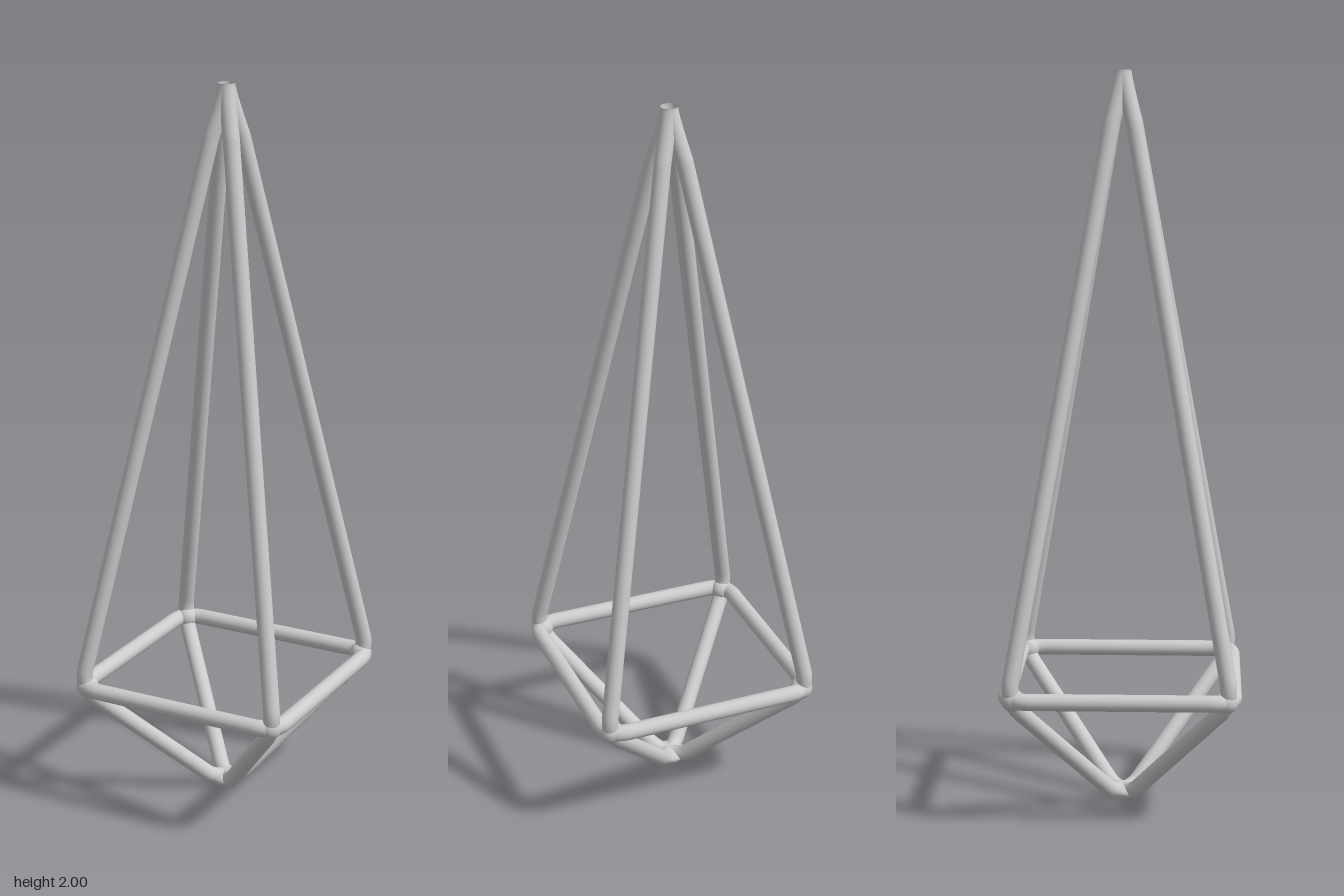
import * as THREE from 'three';

const R = 0.0225;        // rod radius
const RING_Y = 0.352;    // height of the square waist
const RING = 0.302;      // half side of the waist, on rod axis

const material = new THREE.MeshStandardMaterial({ color: 0xcccccc, side: THREE.DoubleSide });

function addMesh(parent, name, geometry) {
  const mesh = new THREE.Mesh(geometry, material);
  mesh.name = name;
  parent.add(mesh);
  return mesh;
}

// One edge rod: open tip, long slope, rounded waist corner, short slope, base
function edgePath(sx, sz) {
  const p = (d, y) => new THREE.Vector3(sx * d, y, sz * d);
  const path = new THREE.CurvePath();
  path.add(new THREE.QuadraticBezierCurve3(p(0, 2), p(0, 1.98), p(0.03, 1.86)));
  path.add(new THREE.LineCurve3(p(0.03, 1.86), p(0.286, 0.41)));
  path.add(new THREE.QuadraticBezierCurve3(p(0.286, 0.41), p(0.297, 0.352), p(0.262, 0.31)));
  path.add(new THREE.LineCurve3(p(0.262, 0.31), p(0.045, 0.046)));
  path.add(new THREE.QuadraticBezierCurve3(p(0.045, 0.046), p(0.027, R), p(0, R)));
  return path;
}

// Square waist with rounded corners
function waistPath() {
  const path = new THREE.CurvePath();
  const round = 0.065;
  for (let i = 0; i < 4; i++) {
    const p = (x, z) => new THREE.Vector3(x, RING_Y, z)
      .applyAxisAngle(new THREE.Vector3(0, 1, 0), i * Math.PI / 2);
    const s = RING - round;
    path.add(new THREE.LineCurve3(p(RING, s), p(RING, -s)));
    path.add(new THREE.QuadraticBezierCurve3(p(RING, -s), p(RING, -RING), p(s, -RING)));
  }
  return path;
}

export function createModel() {
  const model = new THREE.Group();
  model.name = 'wireframeCrystal';

  addMesh(model, 'waistRing', new THREE.TubeGeometry(waistPath(), 200, R, 20, true));

  for (const sx of [1, -1]) {
    for (const sz of [1, -1]) {
      const side = (sz > 0 ? 'front' : 'back') + (sx > 0 ? 'Left' : 'Right');
      addMesh(model, side + 'Edge', new THREE.TubeGeometry(edgePath(sx, sz), 220, R, 20, false));
      // Soft swelling where the rods meet
      const joint = addMesh(model, side + 'Joint', new THREE.SphereGeometry(0.031, 24, 16));
      joint.position.set(sx * 0.283, RING_Y, sz * 0.283);
    }
  }

  // Flattened joint under the four lower rods
  const base = addMesh(model, 'baseJoint', new THREE.SphereGeometry(1, 32, 16));
  base.scale.set(0.048, R, 0.048);
  base.position.y = R;

  return model;
}
